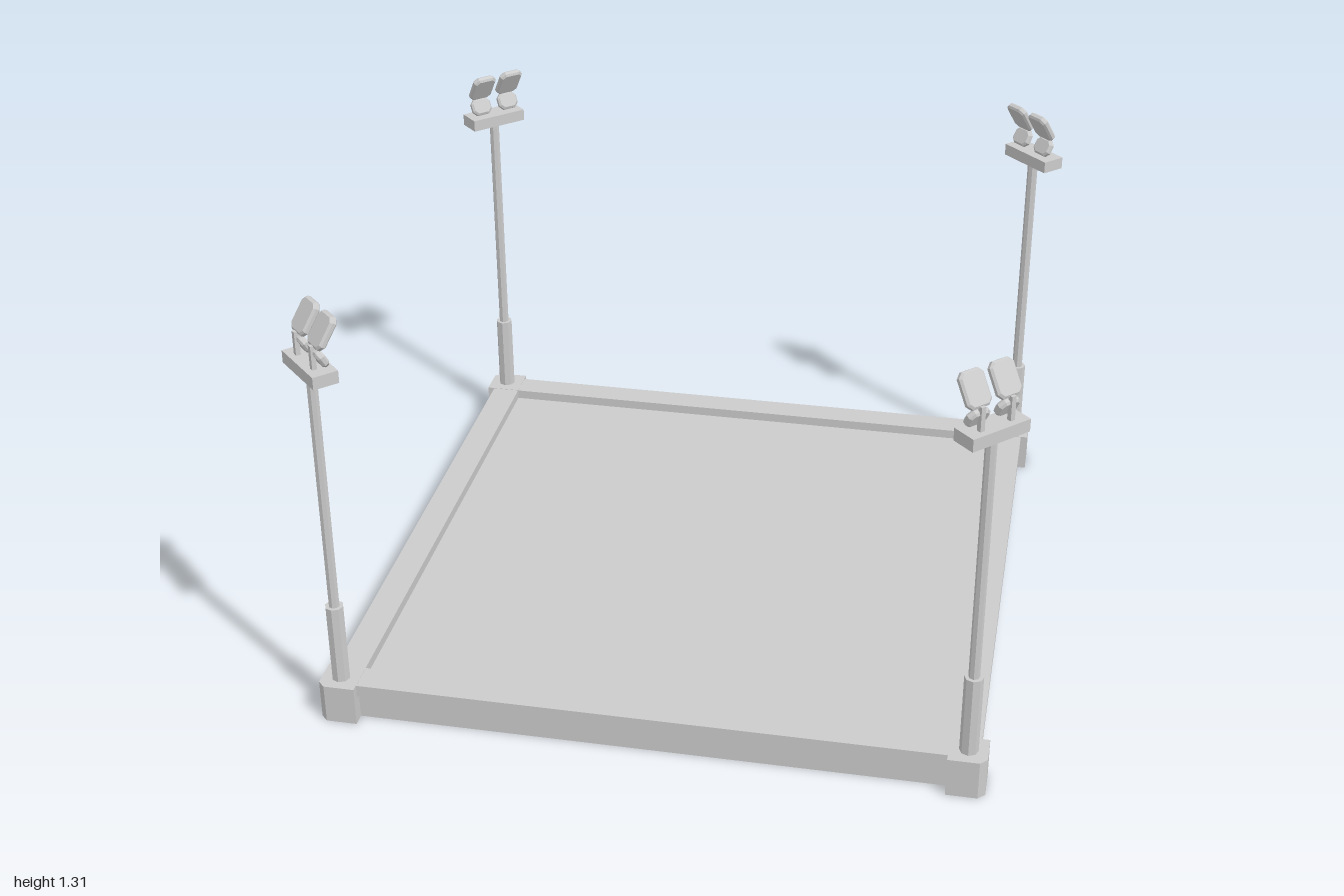
import * as THREE from 'three';

const material = new THREE.MeshStandardMaterial({ color: 0xcccccc, flatShading: true });

function add(parent, name, geometry, x = 0, y = 0, z = 0) {
  const mesh = new THREE.Mesh(geometry, material);
  mesh.name = name;
  mesh.position.set(x, y, z);
  parent.add(mesh);
  return mesh;
}

const polygon = (points) => new THREE.Shape(points.map(([x, y]) => new THREE.Vector2(x, y)));
const square = (h) => [[-h, -h], [h, -h], [h, h], [-h, h]];

// Extrudes a plan outline straight up
function upright(shape, height) {
  return new THREE.ExtrudeGeometry(shape, { depth: height, bevelEnabled: false }).rotateX(-Math.PI / 2);
}

// Thin lamp panel with cut corners and bevelled edges, centred on the origin
function panel(width, height, thickness) {
  const bevel = 0.006, cut = 0.011;
  const w = width / 2 - bevel, h = height / 2 - bevel;
  const outline = polygon([
    [-w + cut, -h], [w - cut, -h], [w, -h + cut], [w, h - cut],
    [w - cut, h], [-w + cut, h], [-w, h - cut], [-w, -h + cut],
  ]);
  const depth = thickness - 2 * bevel;
  return new THREE.ExtrudeGeometry(outline, {
    depth, bevelSize: bevel, bevelThickness: bevel, bevelSegments: 1,
  }).translate(0, 0, -depth / 2);
}

// Square corner block whose outer edge is chamfered; outside is local -z
function cornerBlock() {
  const a = 0.055, c = 0.02;
  const points = [[-a, -a], [a, -a], [a, a - c], [a - c, a], [-a, a]];
  return upright(polygon(points.map(([p, q]) => [(p - q) * Math.SQRT1_2, (p + q) * Math.SQRT1_2])), 0.121);
}

// One floodlight: a large upper head and a small lower head, on a thin bracket
function createLamp(x) {
  const lamp = new THREE.Group();
  lamp.name = 'floodlight';
  lamp.position.x = x;
  add(lamp, 'lampBracket', new THREE.BoxGeometry(0.014, 0.075, 0.014), 0, 1.19, -0.012);
  add(lamp, 'upperLampHead', panel(0.08, 0.1, 0.022), 0, 1.262, 0.022).rotation.x = 0.57;
  add(lamp, 'lowerLampHead', panel(0.07, 0.056, 0.022), 0, 1.19, 0.006).rotation.x = -0.5;
  return lamp;
}

// Corner block, stepped pole, platform and lamps; the lamps face local +z
function createMast() {
  const mast = new THREE.Group();
  mast.name = 'lightMast';
  add(mast, 'cornerBlock', cornerBlock());
  add(mast, 'lowerPole', new THREE.CylinderGeometry(0.027, 0.027, 0.26, 8), 0, 0.24, 0);
  add(mast, 'upperPole', new THREE.CylinderGeometry(0.016, 0.016, 0.78, 8), 0, 0.745, 0);
  add(mast, 'lampPlatform', new THREE.BoxGeometry(0.19, 0.037, 0.075), 0, 1.139, 0);
  for (const side of [-1, 1]) mast.add(createLamp(side * 0.05));
  return mast;
}

export function createModel() {
  const model = new THREE.Group();
  model.name = 'floodlitPlatform';

  // Floor slab with an overhanging raised rim
  add(model, 'floorSlab', new THREE.BoxGeometry(1.84, 0.09, 1.84), 0, 0.045, 0);
  const rim = polygon(square(0.938));
  rim.holes.push(polygon(square(0.85).reverse()));
  add(model, 'rim', upright(rim, 0.037), 0, 0.083, 0);

  // A mast on every corner, turned to face the middle
  for (const sx of [-1, 1]) {
    for (const sz of [-1, 1]) {
      const mast = createMast();
      mast.position.set(sx * 0.905, 0, sz * 0.905);
      mast.rotation.y = Math.atan2(-sx, -sz);
      model.add(mast);
    }
  }
  return model;
}
